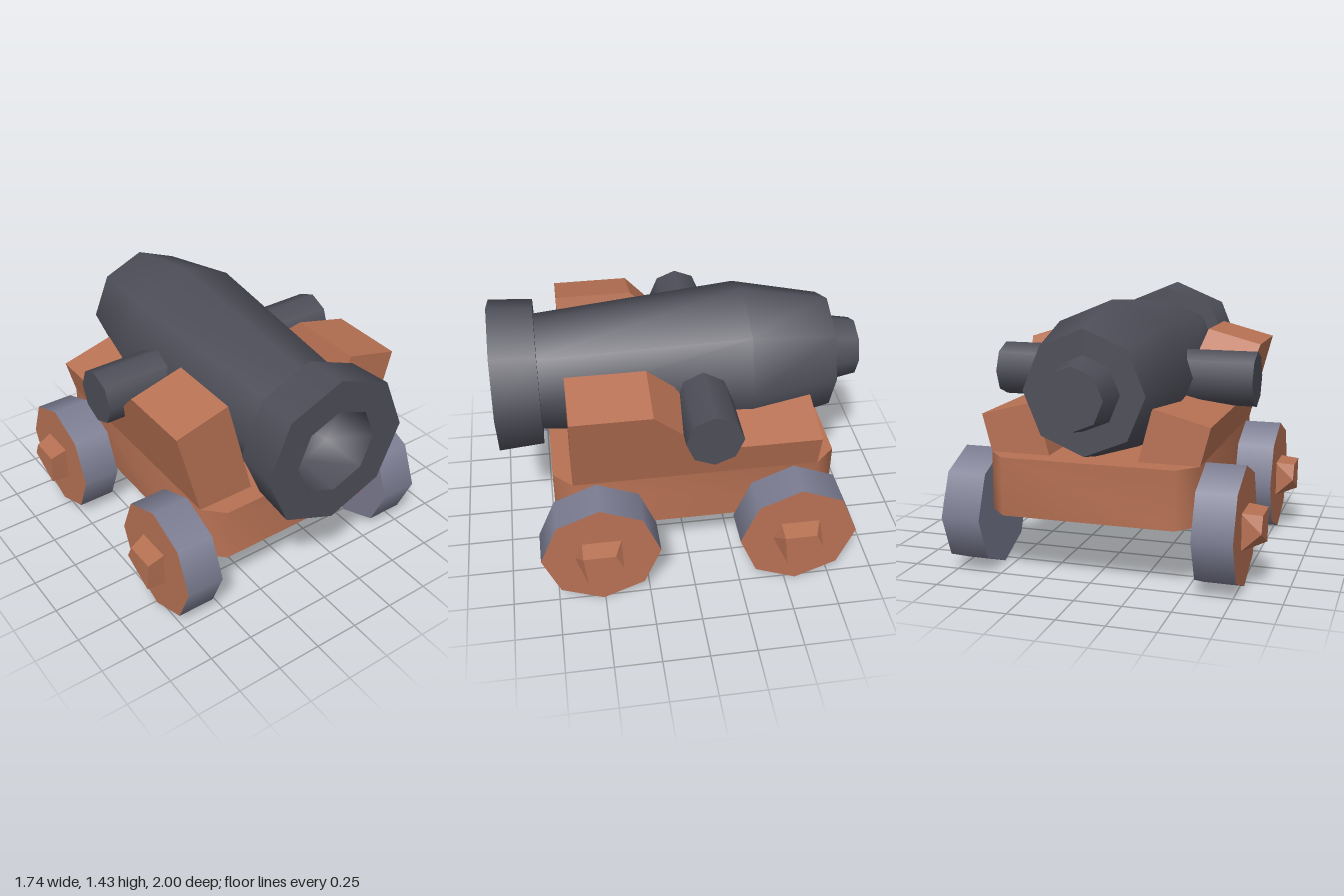
import * as THREE from 'three';
import { toCreasedNormals } from 'three/addons/utils/BufferGeometryUtils.js';
import { ConvexGeometry } from 'three/addons/geometries/ConvexGeometry.js';

export function createModel() {
  const material = (name, color) => {
    const m = new THREE.MeshStandardMaterial({ color });
    m.name = name;
    return m;
  };
  const iron = material('dark iron', 0x4e4e59);
  const steel = material('wheel rim grey', 0x7c7d92);
  const wood = material('wood', 0xb87254);

  const model = new THREE.Group();
  model.name = 'cannon';
  const add = (name, geometry, mat, parent = model) => {
    const mesh = new THREE.Mesh(geometry, mat);
    mesh.name = name;
    parent.add(mesh);
    return mesh;
  };
  const V2 = (x, y) => new THREE.Vector2(x, y);

  // Barrel: octagonal parts along z
  const barrel = new THREE.Group();
  barrel.name = 'barrel';
  barrel.position.y = 1.012;
  model.add(barrel);
  const lathe = (points) =>
    new THREE.LatheGeometry(points.map(([r, z]) => V2(r, z)), 8).rotateX(Math.PI / 2);
  add('barrelBody', lathe([[0.32, -0.83], [0.42, -0.36], [0.32, 0.76]]), iron, barrel);
  add('breechFace', new THREE.CircleGeometry(0.32, 8).rotateY(Math.PI).translate(0, 0, -0.83), iron, barrel);
  add('breechKnob', new THREE.CylinderGeometry(0.19, 0.16, 0.17, 8).rotateX(Math.PI / 2).translate(0, 0, -0.915), iron, barrel);
  add('muzzleBand', lathe([[0.4, 0.76], [0.418, 1]]), iron, barrel);
  add('muzzleFace', new THREE.RingGeometry(0.24, 0.418, 8).translate(0, 0, 1), iron, barrel);
  add('muzzleBack', new THREE.RingGeometry(0.3, 0.4, 8).rotateY(Math.PI).translate(0, 0, 0.76), iron, barrel);
  add('bore', lathe([[0.24, 1], [0.22, 0.75], [0, 0.68]]), iron, barrel);

  // Trunnion pin through the barrel
  add('trunnion', new THREE.CylinderGeometry(0.15, 0.15, 1.46, 8).rotateZ(-Math.PI / 2).translate(0, 1, -0.095), iron);

  // Carriage bed with cut corners
  const bed = new THREE.Shape([
    [-0.46, -0.73], [0.46, -0.73], [0.56, -0.63], [0.56, 0.69],
    [0.46, 0.8], [-0.46, 0.8], [-0.56, 0.69], [-0.56, -0.63],
  ].map(([x, y]) => V2(x, y)));
  const bedGeometry = new THREE.ExtrudeGeometry(bed, { depth: 0.31, bevelEnabled: false });
  bedGeometry.rotateX(-Math.PI / 2).translate(0, 0.34, 0);
  add('carriageBed', toCreasedNormals(bedGeometry, 0.9), wood);

  // Cheeks: stepped planks leaning outward
  const cheek = new THREE.Shape([
    [0.63, -0.1], [0.63, 0.515], [0.21, 0.515], [-0.1, 0.206], [-0.69, 0.206], [-0.69, -0.1],
  ].map(([z, h]) => V2(z, h)));
  const thickness = 0.31;
  const lean = 0.255;
  for (const side of [1, -1]) {
    const along = new THREE.Vector3(0, 0, 1);
    const up = new THREE.Vector3(side * Math.sin(lean), Math.cos(lean), 0);
    const across = new THREE.Vector3().crossVectors(along, up);
    const origin = new THREE.Vector3(side * 0.56, 0.65, 0);
    if (side < 0) origin.addScaledVector(across, -thickness);
    const geometry = new THREE.ExtrudeGeometry(cheek, { depth: thickness, bevelEnabled: false });
    geometry.applyMatrix4(new THREE.Matrix4().makeBasis(along, up, across).setPosition(origin));
    add(side > 0 ? 'leftCheek' : 'rightCheek', geometry, wood);
  }

  // Wheels with faceted axle ends, outlines given as [z, y]
  const axleTip = [[0.1, 0.085], [-0.07, 0.085], [-0.11, 0], [0.08, -0.095]];
  const axleBase = {
    1: [[0.14, 0], [0.1, 0.1], [-0.11, 0.1], [-0.11, -0.1], [0, -0.145]],
    [-1]: [[0.09, 0.1], [-0.11, 0.1], [-0.11, -0.1], [0.09, -0.1]],
  };
  for (const side of [1, -1]) {
    for (const z of [0.51, -0.56]) {
      const wheel = new THREE.Group();
      wheel.name = (z > 0 ? 'front' : 'rear') + (side > 0 ? 'LeftWheel' : 'RightWheel');
      wheel.position.set(side * 0.665, 0.322, z);
      model.add(wheel);
      add('wheelDisc', new THREE.CylinderGeometry(0.32, 0.32, 0.21, 8).rotateZ(-Math.PI / 2),
        [steel, side > 0 ? wood : steel, side < 0 ? wood : steel], wheel);
      const corners = [
        ...axleBase[side].map(([a, b]) => new THREE.Vector3(side * 0.1, b, a)),
        ...axleTip.map(([a, b]) => new THREE.Vector3(side * 0.205, b, a)),
      ];
      add('axleEnd', new ConvexGeometry(corners), wood, wheel);
    }
  }
  return model;
}
